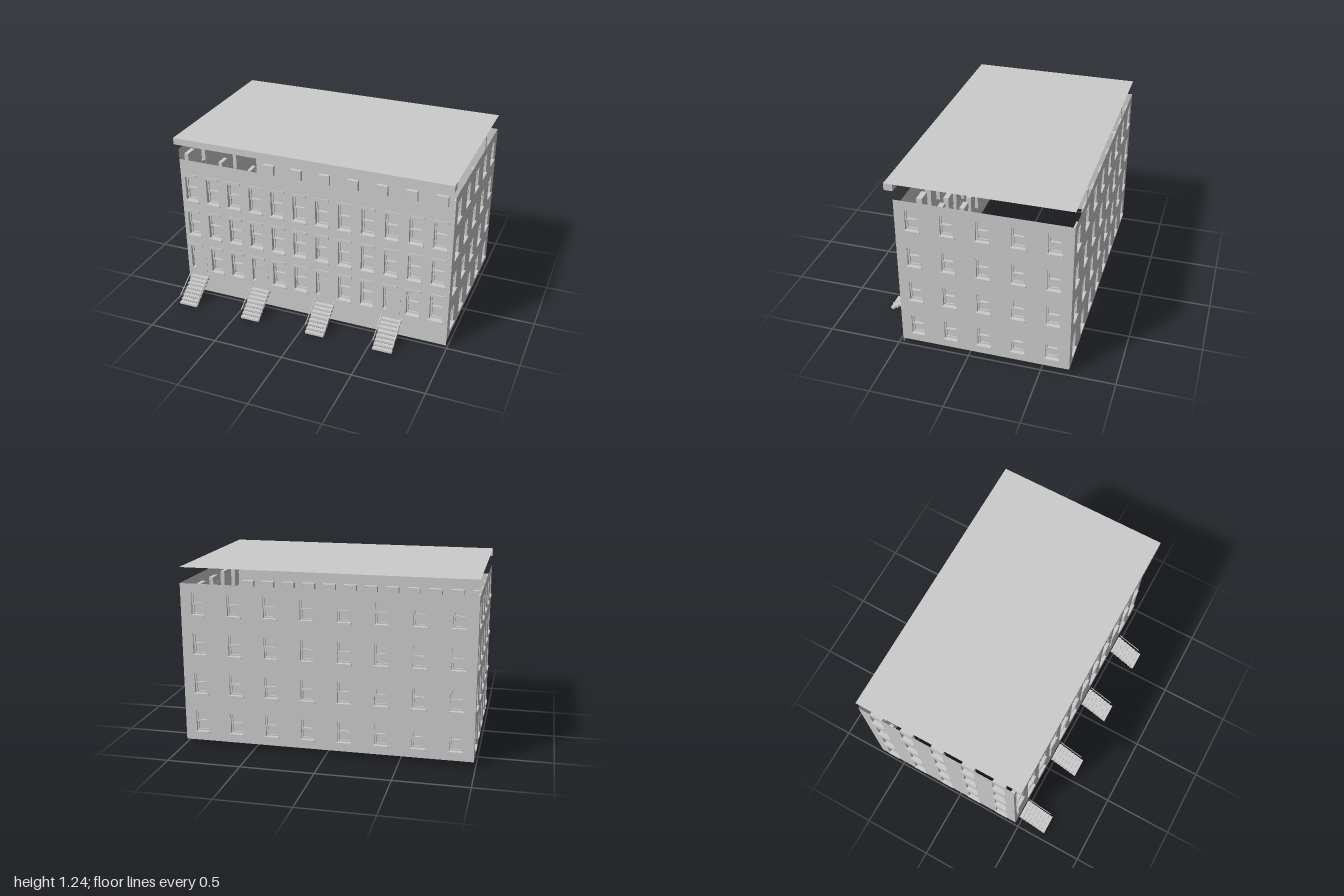
import * as THREE from 'three';

const masonry = new THREE.MeshStandardMaterial({ color: 0xcccccc, side: THREE.DoubleSide });
masonry.name = 'pale grey';

function add(parent, name, geometry, x = 0, y = 0, z = 0) {
  const mesh = new THREE.Mesh(geometry, masonry);
  mesh.name = name;
  mesh.position.set(x, y, z);
  parent.add(mesh);
  return mesh;
}

const box = (w, h, d) => new THREE.BoxGeometry(w, h, d);

function rect(target, x0, y0, x1, y1) {
  target.moveTo(x0, y0);
  target.lineTo(x1, y0);
  target.lineTo(x1, y1);
  target.lineTo(x0, y1);
  target.closePath();
  return target;
}

// Rectangular frame of bar width t, standing on y = 0, running back from z = depth to 0
function frame(w, h, t, depth) {
  const shape = rect(new THREE.Shape(), -w / 2, 0, w / 2, h);
  shape.holes.push(rect(new THREE.Path(), -w / 2 + t, t, w / 2 - t, h - t));
  return new THREE.ExtrudeGeometry(shape, { depth, bevelEnabled: false });
}

// Sash window kit: geometries shared by all windows of one size
function windowKit(w, h, depth, lintel) {
  const t = 0.003;
  return {
    w, h, depth, lintel,
    reveal: frame(w + 2 * t, h + 2 * t, t, depth),
    sash: frame(w, h / 2 + 0.005, 0.011, 0.009),
    pane: new THREE.PlaneGeometry(w, h),
    sill: box(w + 0.014, 0.011, 0.022),
    head: box(w + 0.014, 0.02, 0.006),
    t,
  };
}

function addWindow(parent, kit, x, y, withSill = true) {
  const g = new THREE.Group();
  g.name = 'window';
  g.position.set(x, y, 0);
  add(g, 'windowReveal', kit.reveal, 0, -kit.t, -kit.depth - 0.0005);
  add(g, 'windowPane', kit.pane, 0, kit.h / 2, -kit.depth);
  add(g, 'lowerSash', kit.sash, 0, 0, -kit.depth + 0.002);
  add(g, 'upperSash', kit.sash, 0, kit.h / 2 - 0.005, -kit.depth + 0.011);
  if (withSill) add(g, 'windowSill', kit.sill, 0, -0.0055, -0.001);
  if (kit.lintel) add(g, 'windowLintel', kit.head, 0, kit.h + 0.01, 0.003);
  parent.add(g);
}

// Thin wall with openings, drawn facing +z
function makeWall(name, halfWidth, bottom, top, kit, columns, rows, isDoor = () => false) {
  const g = new THREE.Group();
  g.name = name;
  const shape = rect(new THREE.Shape(), -halfWidth, bottom, halfWidth, top);
  for (const x of columns) {
    for (const y of rows) {
      shape.holes.push(rect(new THREE.Path(), x - kit.w / 2, y, x + kit.w / 2, y + kit.h));
    }
  }
  add(g, name + 'Panel', new THREE.ShapeGeometry(shape));
  columns.forEach((x, c) => rows.forEach((y, r) => addWindow(g, kit, x, y, !isDoor(c, r))));
  return g;
}

const series = (count, start, step) => Array.from({ length: count }, (_, i) => start + i * step);

// Open stair of floating treads with two sloping handrails
function makeStair() {
  const g = new THREE.Group();
  g.name = 'entranceStair';
  const tread = box(0.137, 0.0155, 0.0265);
  for (let i = 0; i < 8; i++) add(g, 'tread', tread, 0, 0.008 + i * 0.017, 0.682 - i * 0.026);
  const dy = 0.11, dz = 0.182;
  const rail = box(0.005, 0.005, Math.hypot(dy, dz));
  for (const side of [-1, 1]) {
    add(g, 'handrail', rail, side * 0.072, 0.114, 0.584).rotation.x = Math.atan2(dy, dz);
  }
  return g;
}

export function createModel() {
  const model = new THREE.Group();
  model.name = 'rowHouseBuilding';
  const halfX = 0.988, frontZ = 0.47, backZ = -0.688;
  const midZ = (frontZ + backZ) / 2;

  // Front wall: twelve bays on three floors, every third ground bay is an entrance
  const frontKit = windowKit(0.092, 0.187, 0.04, true);
  const front = makeWall('frontWall', halfX, 0, 1.06, frontKit,
    series(12, -0.911, 0.165), series(3, 0.184, 0.28), (c, r) => r === 0 && c % 3 === 0);
  front.position.z = frontZ;
  model.add(front);

  // Back and side walls: four floors
  const plainKit = windowKit(0.088, 0.146, 0.03, false);
  const rows = series(4, 0.1, 0.2747);
  const back = makeWall('backWall', halfX, 0.037, 1.135, plainKit, series(8, -0.869, 0.2483), rows);
  back.rotation.y = Math.PI;
  back.position.z = backZ;
  model.add(back);

  const bays = series(5, -0.571, 0.2315);
  for (const side of [-1, 1]) {
    const columns = bays.map((z) => -side * (z - midZ));
    const wall = makeWall(side > 0 ? 'leftWall' : 'rightWall', (frontZ - backZ) / 2,
      0.037, 1.135, plainKit, columns, rows);
    wall.rotation.y = side * Math.PI / 2;
    wall.position.set(side * halfX, 0, midZ);
    model.add(wall);
  }

  // Entrance doors and stairs
  for (const x of series(4, -0.882, 0.495)) {
    add(model, 'entranceDoor', box(0.098, 0.19, 0.004), x, 0.233, frontZ);
    const stair = makeStair();
    stair.position.x = x;
    model.add(stair);
  }

  // Flat roof sheet raised over the walls, with a fascia along the front
  const roof = add(model, 'roof', new THREE.PlaneGeometry(2 * halfX, 0.526 - backZ),
    0, 1.242, (0.526 + backZ) / 2);
  roof.rotation.x = -Math.PI / 2;
  add(model, 'frontFascia', box(2 * halfX, 0.047, 0.06), 0, 1.218, 0.496);

  return model;
}
